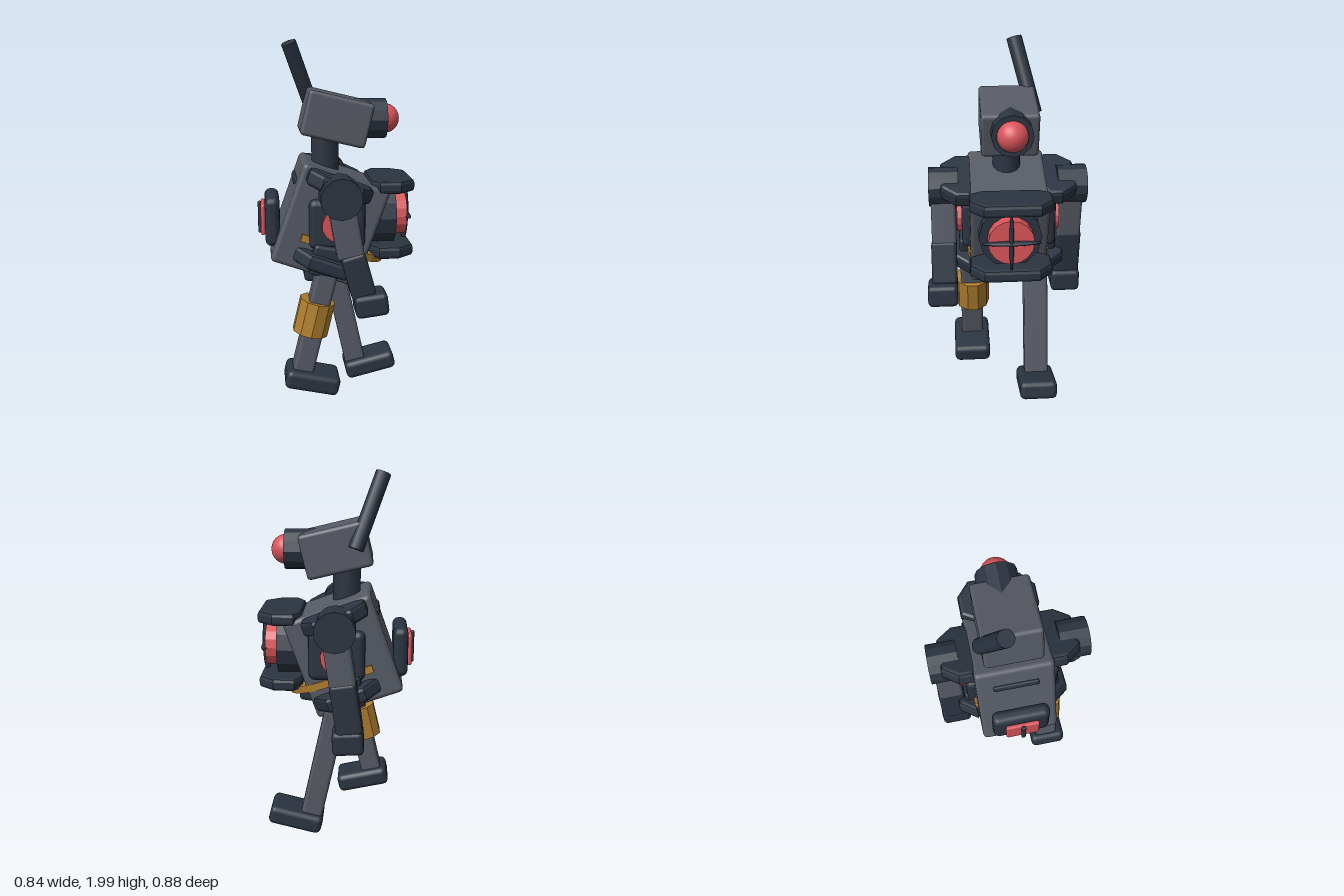
import * as THREE from 'three';
import { RoundedBoxGeometry } from 'three/addons/geometries/RoundedBoxGeometry.js';

const mat = (name, color) => {
  const m = new THREE.MeshStandardMaterial({ color });
  m.name = name;
  return m;
};

export function createModel() {
  const root = new THREE.Group();
  root.name = 'walkingRobot';
  const grey = mat('steelGrey', 0x565a64);
  const dark = mat('darkNavy', 0x2b3441);
  const red = mat('lampRed', 0xd9545a);
  const gold = mat('ochre', 0xb07f2f);

  const add = (name, geo, material, pos, rotZ = 0, parent = root) => {
    const mesh = new THREE.Mesh(geo, material);
    mesh.name = name;
    mesh.position.set(...pos);
    mesh.rotation.z = rotZ;
    parent.add(mesh);
    return mesh;
  };
  const box = (w, h, d, r = 0.02) => new RoundedBoxGeometry(w, h, d, 2, r);
  const flatCyl = (r, h, n) => new THREE.CylinderGeometry(r, r, h, n).toNonIndexed();
  const faceted = (geo) => { geo.computeVertexNormals(); return geo; };
  const cylX = (r, h, n) => faceted(flatCyl(r, h, n).rotateZ(-Math.PI / 2));
  const cylZ = (r, h, n) => faceted(flatCyl(r, h, n).rotateX(Math.PI / 2));

  // Square limb running between two points of the side plane
  const limb = (name, a, b, z, w, d, material, r = 0.02) => {
    const dx = b[0] - a[0], dy = b[1] - a[1];
    return add(name, box(w, Math.hypot(dx, dy), d, r), material,
      [(a[0] + b[0]) / 2, (a[1] + b[1]) / 2, z], Math.atan2(-dx, dy));
  };

  // Horizontal guard plate with chamfered outer corners, pointing along +x
  const guard = (len, half, thick) => {
    const b = 0.02, l = len - b, h = half - b;
    const s = new THREE.Shape([
      [0, -h + 0.05], [0.03, -h], [l - 0.07, -h], [l, -h + 0.06],
      [l, h - 0.06], [l - 0.07, h], [0.03, h], [0, h - 0.05],
    ].map(([x, y]) => new THREE.Vector2(x, y)));
    const g = new THREE.ExtrudeGeometry(s, {
      depth: thick - 2 * b, bevelEnabled: true, bevelSize: b, bevelThickness: b, bevelSegments: 2,
    });
    return g.translate(0, 0, b - thick / 2).rotateX(-Math.PI / 2);
  };

  // Torso
  const torso = new THREE.Group();
  torso.name = 'torso';
  torso.position.set(-0.04, 1.03, -0.01);
  torso.rotation.z = -0.345;
  root.add(torso);
  add('torsoBody', box(0.49, 0.56, 0.42, 0.025), grey, [0, 0, 0], 0, torso);
  add('backVent', box(0.02, 0.035, 0.24, 0.008), dark, [-0.247, 0.16, 0], 0, torso);

  // Belt curving around the front
  const belt = new THREE.Shape();
  belt.moveTo(-0.13, -0.225);
  belt.lineTo(0.16, -0.225);
  belt.bezierCurveTo(0.3, -0.21, 0.37, -0.12, 0.37, 0);
  belt.bezierCurveTo(0.37, 0.12, 0.3, 0.21, 0.16, 0.225);
  belt.lineTo(-0.13, 0.225);
  belt.lineTo(-0.13, 0.17);
  belt.lineTo(0.14, 0.17);
  belt.bezierCurveTo(0.24, 0.16, 0.3, 0.1, 0.3, 0);
  belt.bezierCurveTo(0.3, -0.1, 0.24, -0.16, 0.14, -0.17);
  belt.lineTo(-0.13, -0.17);
  const beltGeo = new THREE.ExtrudeGeometry(belt, { depth: 0.04, bevelEnabled: false, curveSegments: 6 });
  add('belt', beltGeo.rotateX(-Math.PI / 2), gold, [0, -0.12, 0], 0, torso);

  // Chest lamp with guards and crossed bars
  add('chestLampHousing', cylX(0.165, 0.16, 12), dark, [0.245, 1.055, -0.005]);
  add('chestLamp', cylX(0.12, 0.1, 16), red, [0.34, 1.055, -0.005]);
  for (const y of [1.235, 0.875]) add('chestGuard', guard(0.215, 0.215, 0.07), dark, [0.205, y, -0.01]);
  const bar = () => new THREE.SphereGeometry(1, 10, 8);
  add('grilleUpright', bar(), dark, [0.395, 1.055, -0.005]).scale.set(0.025, 0.17, 0.012);
  add('grilleCrossbar', bar(), dark, [0.395, 1.055, -0.005]).scale.set(0.025, 0.012, 0.16);

  // Back lamp
  add('backPlate', box(0.08, 0.27, 0.31, 0.035), dark, [-0.345, 1.045, -0.01]);
  add('backLamp', box(0.024, 0.17, 0.18, 0.011), red, [-0.396, 1.045, -0.01]);
  add('backLampBar', box(0.02, 0.18, 0.024, 0.008), dark, [-0.413, 1.045, -0.008]);

  // Side lamps, guards and shoulders
  for (const s of [1, -1]) {
    const z = (d) => -0.012 + s * d;
    add('sideLampHousing', box(0.3, 0.27, 0.08, 0.035), dark, [-0.005, 1.05, z(0.215)]);
    add('sideLamp', cylZ(0.085, 0.03, 14), red, [-0.005, 1.05, z(0.265)]);
    add('sideLampBar', box(0.02, 0.17, 0.016, 0.006), dark, [-0.005, 1.05, z(0.28)]);
    for (const [name, x, y, len] of [['upperSideGuard', 0.005, 1.26, 0.175], ['lowerSideGuard', -0.06, 0.83, 0.12]]) {
      const tilt = new THREE.Group();
      tilt.name = name;
      tilt.position.set(x, y, z(0.19));
      tilt.rotation.z = -0.345;
      root.add(tilt);
      add(name + 'Plate', guard(len, 0.175, 0.085), dark, [0, 0, 0], 0, tilt).rotation.y = -s * Math.PI / 2;
    }
    add('hipBlock', box(0.17, 0.17, 0.09), dark, [-0.06, 0.85, z(0.225)], -0.2);
    add('shoulder', cylZ(0.107, 0.16, 14), dark, [-0.003, 1.225, z(0.348)]);
  }

  // Arms
  limb('leftUpperArm', [-0.005, 1.22], [0.05, 0.91], 0.34, 0.14, 0.135, grey);
  limb('leftForearm', [0.055, 0.93], [0.12, 0.7], 0.343, 0.13, 0.14, dark);
  add('leftHand', box(0.175, 0.12, 0.165, 0.025), dark, [0.155, 0.66, 0.355], 0.13);
  limb('rightUpperArm', [0, 1.22], [-0.045, 0.92], -0.355, 0.14, 0.135, grey);
  limb('rightForearm', [-0.04, 0.95], [-0.08, 0.67], -0.355, 0.14, 0.145, dark);
  add('rightHand', box(0.165, 0.13, 0.165, 0.025), dark, [-0.07, 0.625, -0.35], -0.05);

  // Legs and feet
  limb('leftLeg', [-0.05, 0.83], [-0.205, 0.18], 0.19, 0.115, 0.13, grey);
  add('leftKneeBand', faceted(flatCyl(0.099, 0.19, 10)), gold, [-0.132, 0.527, 0.187], -0.23);
  add('leftFoot', box(0.3, 0.105, 0.21, 0.03), dark, [-0.145, 0.167, 0.195], -0.22);
  limb('rightLeg', [-0.02, 0.83], [0.14, 0.1], -0.17, 0.12, 0.135, grey);
  add('rightFoot', box(0.3, 0.105, 0.21, 0.03), dark, [0.226, 0.087, -0.165], 0.24);

  // Neck and head
  add('neck', new THREE.CylinderGeometry(0.075, 0.075, 0.26, 16), dark, [-0.05, 1.4, -0.01]);
  add('head', box(0.355, 0.24, 0.3), grey, [0.005, 1.59, -0.015], -0.235);
  add('eyeHousing', cylX(0.108, 0.18, 12), dark, [0.19, 1.58, -0.018]);
  add('eye', new THREE.SphereGeometry(0.08, 24, 16), red, [0.275, 1.58, -0.018]);

  // Antenna
  const top = new THREE.Vector3(-0.238, 1.98, -0.065), base = new THREE.Vector3(-0.1, 1.6, -0.165);
  const dir = top.clone().sub(base);
  const antenna = add('antenna', new THREE.CylinderGeometry(0.042, 0.042, dir.length(), 14), dark,
    base.clone().add(top).multiplyScalar(0.5).toArray());
  antenna.quaternion.setFromUnitVectors(new THREE.Vector3(0, 1, 0), dir.normalize());

  return root;
}
